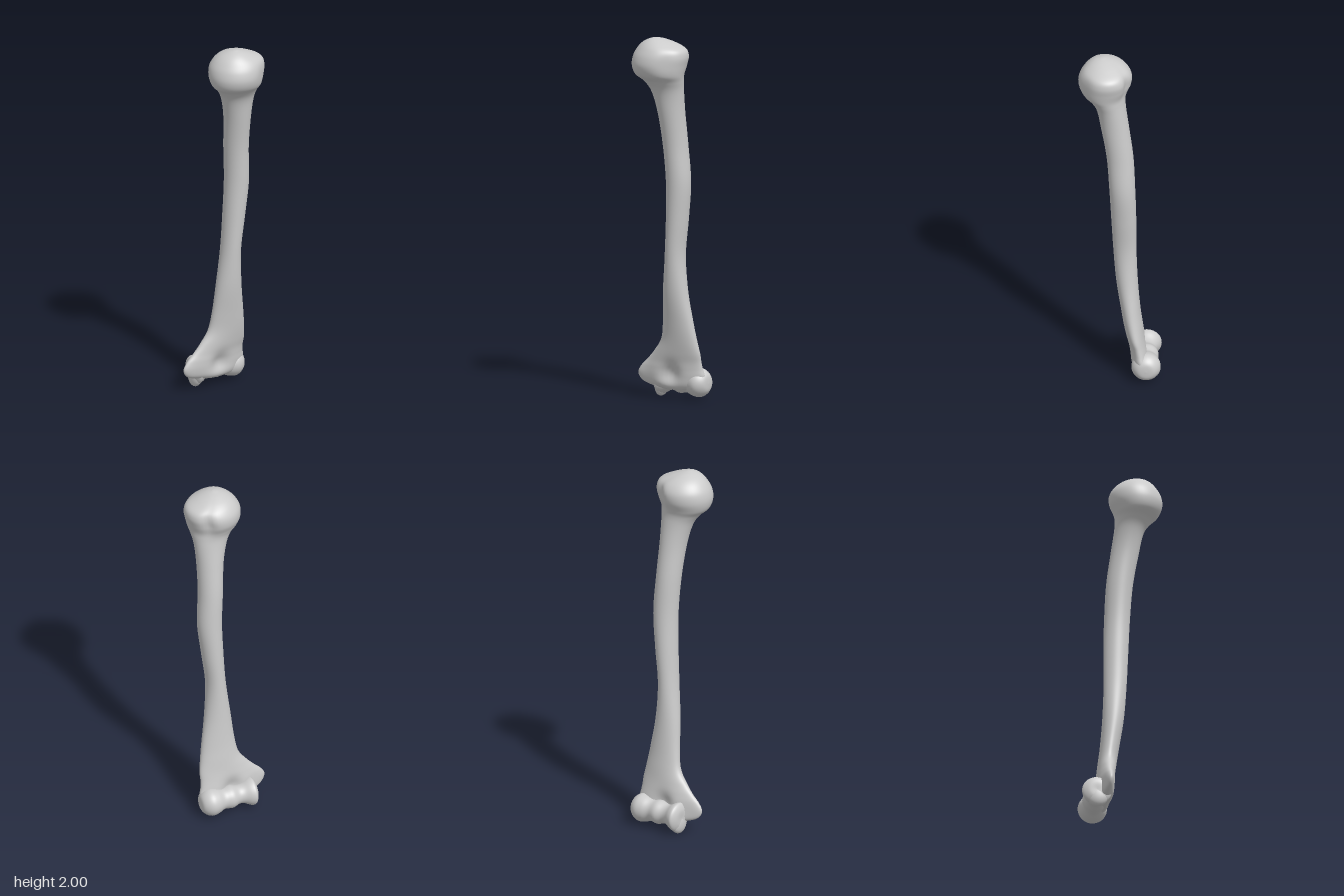
import * as THREE from 'three';

const material = new THREE.MeshStandardMaterial({ color: 0xcccccc });
const bell = (v, centre, width) => Math.exp(-(((v - centre) / width) ** 2));

// Cross-sections from the elbow end up: y, min x, max x, min z, max z
const sections = [
  [0.05, -0.06, 0.12, -0.14, -0.08],
  [0.065, -0.13, 0.165, -0.155, -0.06],
  [0.09, -0.185, 0.185, -0.155, -0.045],
  [0.13, -0.205, 0.192, -0.15, -0.038],
  [0.17, -0.185, 0.184, -0.145, -0.036],
  [0.21, -0.145, 0.18, -0.138, -0.036],
  [0.26, -0.1, 0.18, -0.13, -0.03],
  [0.33, -0.052, 0.17, -0.122, -0.02],
  [0.43, -0.032, 0.155, -0.11, -0.005],
  [0.6, -0.015, 0.13, -0.097, 0.02],
  [0.8, 0.008, 0.118, -0.09, 0.035],
  [1.0, 0.02, 0.14, -0.09, 0.045],
  [1.2, 0.025, 0.16, -0.085, 0.055],
  [1.4, 0.015, 0.15, -0.075, 0.07],
  [1.58, 0.0, 0.148, -0.052, 0.1],
  [1.7, -0.028, 0.155, -0.035, 0.125],
  [1.76, -0.062, 0.165, -0.03, 0.16],
  [1.8, -0.102, 0.175, -0.038, 0.205],
  [1.85, -0.118, 0.187, -0.06, 0.225],
  [1.9, -0.113, 0.196, -0.064, 0.22],
  [1.94, -0.092, 0.182, -0.045, 0.2],
  [1.97, -0.062, 0.125, -0.008, 0.172],
  [1.99, -0.025, 0.07, 0.04, 0.14],
  [2.0, 0.01, 0.03, 0.085, 0.105],
];

// Closed, smooth loft through the cross-sections
function boneGeometry(rings = 160, sides = 56) {
  const rail = (ix, iz) => new THREE.CatmullRomCurve3(
    sections.map((s) => new THREE.Vector3(s[ix], s[0], s[iz])), false, 'catmullrom', 0.5);
  const low = rail(1, 3), high = rail(2, 4);
  const positions = [], index = [];
  for (let i = 0; i <= rings; i++) {
    const a = low.getPoint(i / rings), b = high.getPoint(i / rings), y = a.y;
    const cx = (a.x + b.x) / 2, cz = (a.z + b.z) / 2;
    const rx = (b.x - a.x) / 2, rz = (b.z - a.z) / 2;
    const flare = 1 - THREE.MathUtils.smoothstep(y, 0.1, 0.4);
    const headZone = bell(y, 1.88, 0.075);
    for (let j = 0; j < sides; j++) {
      const t = (j / sides) * Math.PI * 2;
      // groove between the tubercles, and the flatter slope in front of them
      const k = 1 - headZone * (0.13 * bell(t, 5.2, 0.22) + 0.07 * bell(t, 0.85, 0.4));
      const x = cx + rx * k * Math.cos(t);
      let dz = rz * k * Math.sin(t);
      // hollows above the joint, front and back
      dz *= 1 - 0.6 * bell(x, 0.01, 0.055) * bell(y, 0.14, 0.06);
      // thinner inner knob
      dz *= 1 - 0.35 * flare * THREE.MathUtils.smoothstep(-x, 0.02, 0.16);
      // the flared end is turned so that its outer side lies further back
      positions.push(x, y, cz + dz - 0.13 * flare * (x - cx));
    }
  }
  for (let i = 0; i < rings; i++) {
    for (let j = 0; j < sides; j++) {
      const p = i * sides + j, q = i * sides + ((j + 1) % sides);
      index.push(p, p + sides, q, q, p + sides, q + sides);
    }
  }
  // end caps
  const last = rings * sides;
  for (let j = 1; j < sides - 1; j++) {
    index.push(0, j, j + 1, last, last + j + 1, last + j);
  }
  const geometry = new THREE.BufferGeometry();
  geometry.setAttribute('position', new THREE.Float32BufferAttribute(positions, 3));
  geometry.setIndex(index);
  geometry.computeVertexNormals();
  return geometry;
}

// Spool-shaped joint surface, turned about the x axis
function jointGeometry() {
  const profile = new THREE.SplineCurve([
    [0, -0.122], [0.045, -0.122], [0.078, -0.105], [0.076, -0.08], [0.058, -0.045],
    [0.054, -0.015], [0.066, 0.025], [0.06, 0.07], [0.074, 0.11], [0.079, 0.145],
    [0.066, 0.175], [0.04, 0.196], [0, 0.201],
  ].map(([r, x]) => new THREE.Vector2(r, x)));
  const points = profile.getPoints(60).map((p) => new THREE.Vector2(Math.max(p.x, 0), p.y));
  return new THREE.LatheGeometry(points, 40).rotateZ(-Math.PI / 2);
}

export function createModel() {
  const group = new THREE.Group();
  group.name = 'armBone';
  const add = (name, geometry) => {
    const mesh = new THREE.Mesh(geometry, material);
    mesh.name = name;
    group.add(mesh);
    return mesh;
  };

  add('shaftAndHead', boneGeometry());

  const joint = add('elbowJoint', jointGeometry());
  joint.position.set(0, 0.092, -0.141);
  joint.rotation.y = 0.03;

  // lip that hangs below the inner end of the joint
  const lip = add('jointLip', new THREE.SphereGeometry(1, 28, 20));
  lip.scale.set(0.032, 0.068, 0.06);
  lip.position.set(-0.093, 0.068, -0.135);
  lip.rotation.z = -0.15;

  return group;
}
